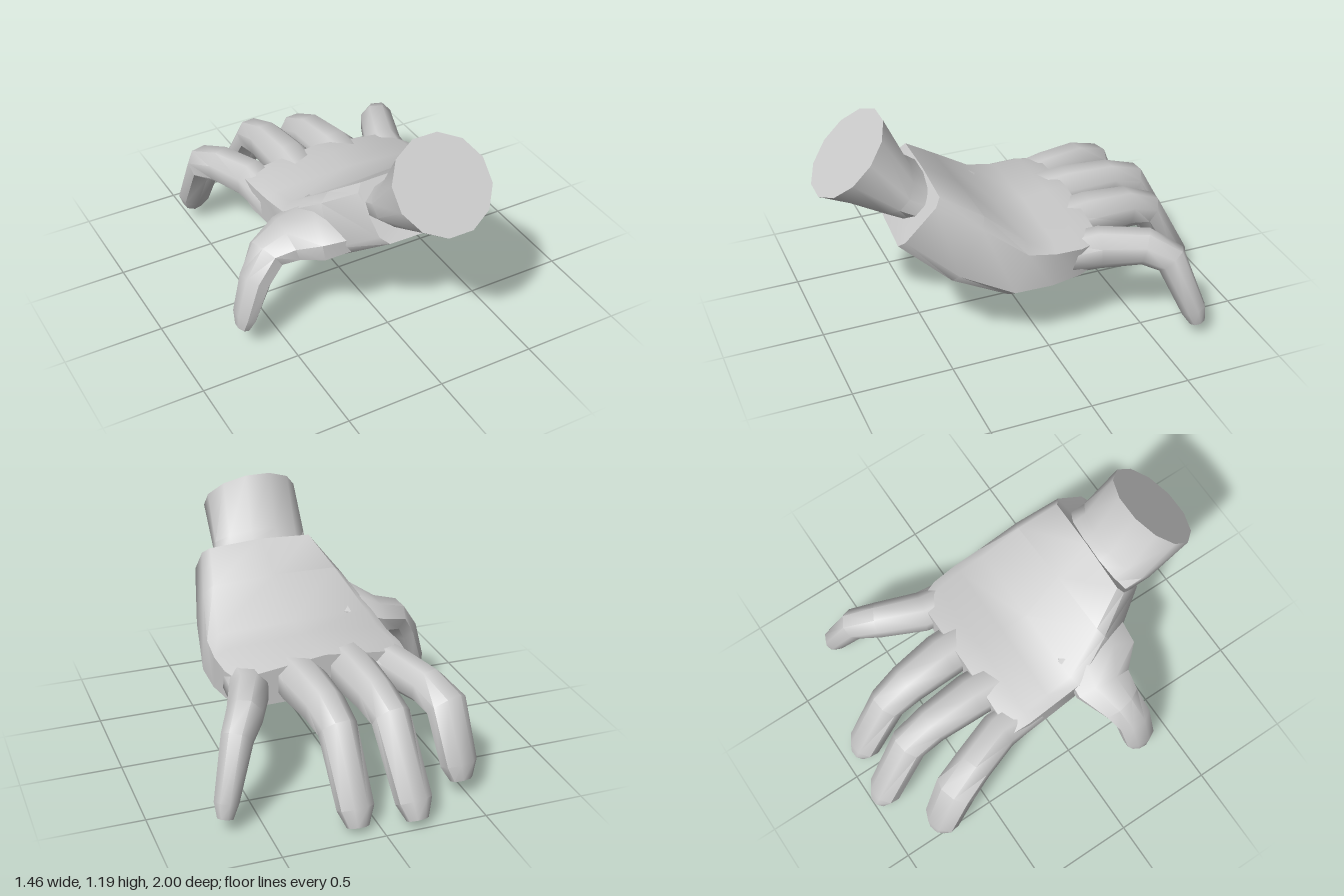
import * as THREE from 'three';
import { toCreasedNormals } from 'three/addons/utils/BufferGeometryUtils.js';

const V = (x, y, z) => new THREE.Vector3(x, y, z);
const material = new THREE.MeshStandardMaterial({ color: 0xcccccc });

// Skin a list of equally long rings and close both ends with fans.
function loft(name, rings) {
  const n = rings[0].length, pos = [];
  const tri = (...pts) => pts.forEach(p => pos.push(p.x, p.y, p.z));
  const centre = r => r.reduce((s, p) => s.add(p), V(0, 0, 0)).divideScalar(n);
  for (let k = 0; k < rings.length - 1; k++) {
    const a = rings[k], b = rings[k + 1];
    for (let i = 0; i < n; i++) {
      const j = (i + 1) % n;
      tri(a[i], a[j], b[j]);
      tri(a[i], b[j], b[i]);
    }
  }
  const first = rings[0], last = rings[rings.length - 1];
  const c0 = centre(first), c1 = centre(last);
  for (let i = 0; i < n; i++) {
    const j = (i + 1) % n;
    tri(c0, first[j], first[i]);
    tri(c1, last[i], last[j]);
  }
  const g = new THREE.BufferGeometry();
  g.setAttribute('position', new THREE.Float32BufferAttribute(pos, 3));
  const mesh = new THREE.Mesh(toCreasedNormals(g, 0.85), material);
  mesh.name = name;
  return mesh;
}

function ellipse(c, side, up, w, h, n) {
  return Array.from({ length: n }, (_, i) => {
    const a = ((i + 0.5) / n) * Math.PI * 2;
    return c.clone().addScaledVector(side, Math.cos(a) * w).addScaledVector(up, Math.sin(a) * h);
  });
}

// Digit: stations of [x, y, z, half width, half thickness], each ring square to the path.
function digit(name, stations) {
  const p = stations.map(s => V(s[0], s[1], s[2])), last = p.length - 1;
  const side = V(0, 1, 0).cross(p[last].clone().sub(p[0])).normalize();
  const rings = stations.map((s, i) => {
    const t = V(0, 0, 0);
    if (i < last) t.add(p[i + 1].clone().sub(p[i]).normalize());
    if (i > 0) t.add(p[i].clone().sub(p[i - 1]).normalize());
    t.normalize();
    const across = side.clone().addScaledVector(t, -side.dot(t)).normalize();
    const up = t.clone().cross(across);
    return ellipse(p[i], across, up, s[3] * 1.06, s[4] * 1.06, 8);
  });
  return loft(name, rings);
}

// Palm ring from four corners, with chamfered corners and a raised middle on the back.
function palmRing(crown, tl, tr, br, bl) {
  const c = [bl, tl, tr, br].map(q => V(...q)), ring = [];
  c.forEach((q, i) => {
    const prev = c[(i + 3) % 4], next = c[(i + 1) % 4], odd = i % 2 === 1;
    ring.push(q.clone().lerp(prev, odd ? 0.14 : 0.06), q.clone().lerp(next, odd ? 0.06 : 0.14));
    if (odd) {
      const mid = q.clone().lerp(next, 0.5);
      if (i === 1) mid.y += crown;
      ring.push(mid);
    }
  });
  return ring;
}

export function createModel() {
  const hand = new THREE.Group();
  hand.name = 'hand';

  // Wrist stump: slanted twelve-sided end narrowing into the heel of the hand
  const left = V(-1, 0, 0), slant = V(0, 0.71, -0.704);
  hand.add(loft('wrist', [
    ellipse(V(0.06, 1.03, 0.835), left, slant, 0.245, 0.24, 12),
    ellipse(V(0.07, 0.845, 0.645), left, slant, 0.25, 0.135, 12),
    ellipse(V(0.085, 0.79, 0.545), left, slant, 0.25, 0.125, 12),
  ]));

  // Palm: from the heel, down the slope, to the knuckles
  hand.add(loft('palm', [
    palmRing(0.015, [-0.19, 0.9, 0.485], [0.41, 0.89, 0.5], [0.41, 0.68, 0.71], [-0.13, 0.64, 0.66]),
    palmRing(0.01, [-0.28, 0.77, 0.32], [0.465, 0.77, 0.3], [0.475, 0.46, 0.47], [-0.28, 0.48, 0.44]),
    palmRing(0, [-0.38, 0.61, 0.11], [0.51, 0.6, 0.1], [0.52, 0.335, 0.2], [-0.36, 0.385, 0.22]),
    palmRing(0.02, [-0.385, 0.58, -0.04], [0.515, 0.57, -0.03], [0.52, 0.335, 0], [-0.38, 0.375, 0]),
    palmRing(0.04, [-0.395, 0.575, -0.18], [0.505, 0.555, -0.16], [0.495, 0.345, -0.16], [-0.395, 0.375, -0.18]),
    palmRing(0.045, [-0.39, 0.555, -0.29], [0.46, 0.54, -0.28], [0.45, 0.37, -0.28], [-0.39, 0.39, -0.29]),
  ]));

  // Fingers: nearly level to the middle joint, then bent down to the tip
  const fingers = {
    indexFinger: [
      [-0.29, 0.46, -0.1, 0.1, 0.085], [-0.325, 0.475, -0.32, 0.095, 0.1],
      [-0.395, 0.465, -0.52, 0.095, 0.09], [-0.44, 0.42, -0.65, 0.1, 0.085],
      [-0.465, 0.16, -0.76, 0.09, 0.07], [-0.47, 0.085, -0.785, 0.055, 0.045]],
    middleFinger: [
      [-0.1, 0.48, -0.1, 0.11, 0.1], [-0.1, 0.49, -0.34, 0.11, 0.115],
      [-0.11, 0.485, -0.58, 0.095, 0.1], [-0.125, 0.45, -0.72, 0.09, 0.085],
      [-0.165, 0.11, -0.92, 0.085, 0.07], [-0.17, 0.03, -0.96, 0.05, 0.045]],
    ringFinger: [
      [0.17, 0.47, -0.1, 0.11, 0.1], [0.16, 0.475, -0.34, 0.115, 0.115],
      [0.14, 0.465, -0.56, 0.1, 0.1], [0.125, 0.42, -0.69, 0.09, 0.085],
      [0.105, 0.1, -0.875, 0.085, 0.07], [0.105, 0.02, -0.91, 0.05, 0.045]],
    littleFinger: [
      [0.4, 0.45, -0.08, 0.1, 0.09], [0.425, 0.46, -0.29, 0.095, 0.1],
      [0.51, 0.465, -0.5, 0.085, 0.088], [0.58, 0.41, -0.605, 0.075, 0.078],
      [0.665, 0.145, -0.7, 0.058, 0.06], [0.678, 0.075, -0.72, 0.038, 0.038]],
  };
  for (const [name, stations] of Object.entries(fingers)) hand.add(digit(name, stations));

  // Thumb: broad root blending into the side of the palm
  hand.add(digit('thumb', [
    [-0.12, 0.56, 0.34, 0.17, 0.08], [-0.28, 0.56, 0.29, 0.2, 0.11],
    [-0.42, 0.51, 0.24, 0.145, 0.085], [-0.54, 0.48, 0.265, 0.105, 0.078],
    [-0.615, 0.38, 0.295, 0.09, 0.07], [-0.68, 0.2, 0.305, 0.08, 0.052],
    [-0.697, 0.13, 0.305, 0.05, 0.032]]));

  return hand;
}
